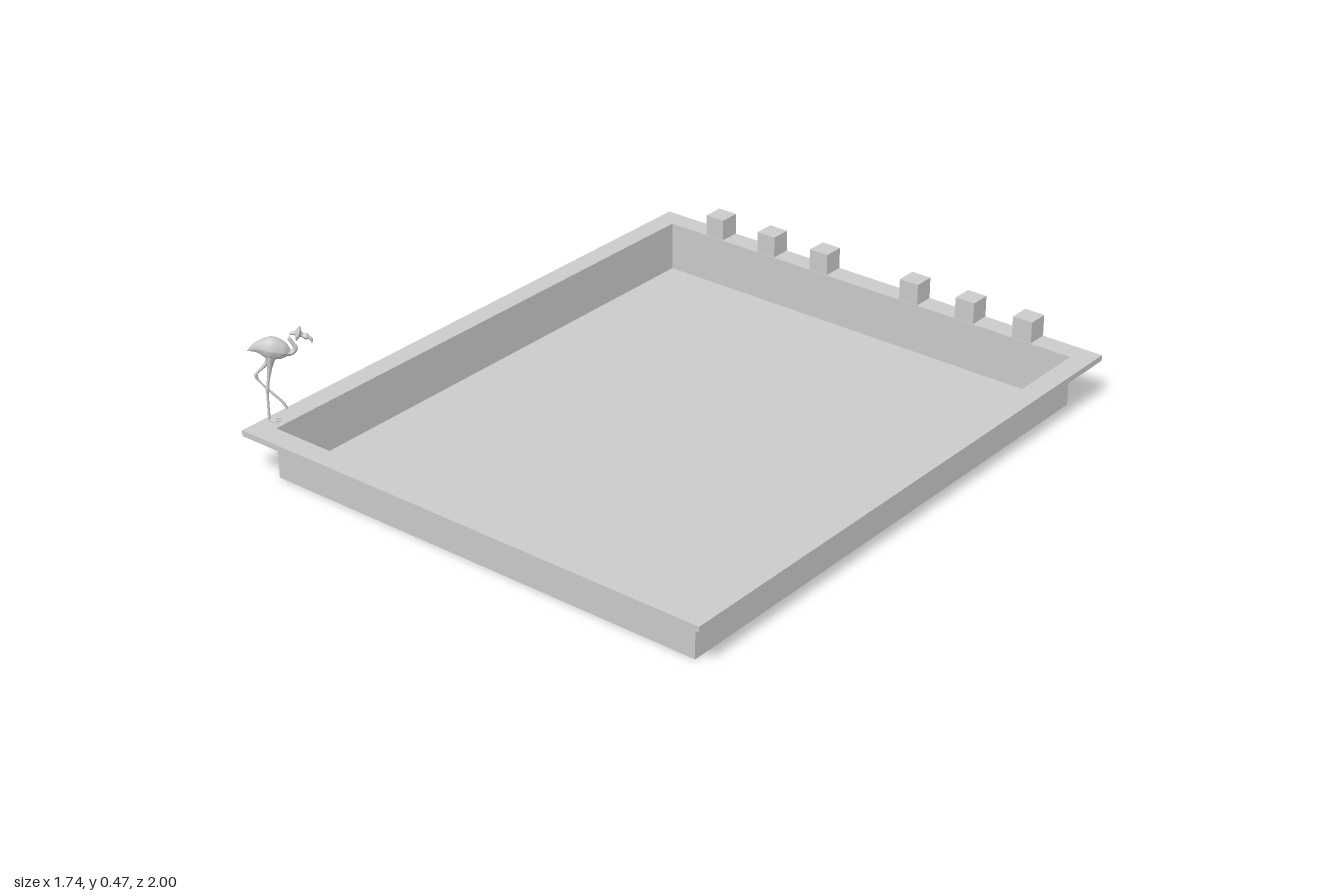
import * as THREE from 'three';

const grey = new THREE.MeshStandardMaterial({ color: 0xcccccc });
const thin = new THREE.MeshStandardMaterial({ color: 0xcccccc, side: THREE.DoubleSide });

function add(parent, name, geometry, material = grey) {
  const mesh = new THREE.Mesh(geometry, material);
  mesh.name = name;
  parent.add(mesh);
  return mesh;
}

// Tube along a smooth path; each point is [x, y, z, radius]
function taperedTube(points, sides = 8, steps = 20) {
  const path = new THREE.CatmullRomCurve3(points.map(p => new THREE.Vector3(p[0], p[1], p[2])));
  const radii = new THREE.CatmullRomCurve3(points.map(p => new THREE.Vector3(p[3], 0, 0)));
  const geometry = new THREE.TubeGeometry(path, steps, 1, sides);
  const pos = geometry.attributes.position;
  const v = new THREE.Vector3();
  for (let i = 0; i <= steps; i++) {
    const centre = path.getPointAt(i / steps);
    const r = Math.max(0.0003, radii.getPoint(path.getUtoTmapping(i / steps)).x);
    for (let j = 0; j <= sides; j++) {
      const k = i * (sides + 1) + j;
      v.fromBufferAttribute(pos, k).sub(centre).multiplyScalar(r).add(centre);
      pos.setXYZ(k, v.x, v.y, v.z);
    }
  }
  geometry.computeVertexNormals();
  return geometry;
}

function rectangle(target, w, d) {
  target.moveTo(-w / 2, -d / 2);
  target.lineTo(w / 2, -d / 2);
  target.lineTo(w / 2, d / 2);
  target.lineTo(-w / 2, d / 2);
  target.closePath();
  return target;
}

// Wading bird, built facing +x with its feet at y = 0
function createBird() {
  const bird = new THREE.Group();
  bird.name = 'bird';

  add(bird, 'body', taperedTube([
    [-0.075, 0.23, 0, 0.001], [-0.045, 0.24, 0, 0.018], [-0.005, 0.237, 0, 0.036],
    [0.03, 0.227, 0, 0.027], [0.05, 0.22, 0, 0.008],
  ], 14, 24)).scale.z = 0.8;

  add(bird, 'neck', taperedTube([
    [0.035, 0.222, 0, 0.014], [0.055, 0.221, 0, 0.009], [0.066, 0.234, 0, 0.007],
    [0.058, 0.252, 0, 0.006], [0.05, 0.268, 0, 0.0055], [0.055, 0.281, 0, 0.0055],
    [0.068, 0.285, 0, 0.006],
  ], 8, 32));

  add(bird, 'head', taperedTube([
    [0.06, 0.283, 0, 0.003], [0.07, 0.283, 0, 0.008], [0.083, 0.279, 0, 0.008], [0.093, 0.274, 0, 0.005],
  ], 10, 12));

  add(bird, 'beak', taperedTube([
    [0.088, 0.276, 0, 0.006], [0.104, 0.27, 0, 0.006], [0.114, 0.262, 0, 0.005], [0.115, 0.248, 0, 0.0005],
  ], 8, 12));

  // Straight leg carrying the weight
  add(bird, 'standingLeg', taperedTube([
    [-0.006, 0.215, 0.011, 0.015], [-0.012, 0.175, 0.013, 0.007], [-0.02, 0.125, 0.015, 0.004],
    [-0.022, 0.11, 0.0155, 0.006], [-0.023, 0.09, 0.0155, 0.0035], [-0.023, 0.006, 0.0155, 0.004],
  ], 8, 32));

  // Bent leg, knee drawn back and foot raised
  add(bird, 'raisedLeg', taperedTube([
    [-0.005, 0.215, -0.011, 0.015], [-0.022, 0.182, -0.01, 0.007], [-0.051, 0.152, -0.008, 0.004],
    [-0.056, 0.143, -0.008, 0.006], [-0.048, 0.125, -0.009, 0.0035], [0.016, 0.053, -0.011, 0.004],
  ], 8, 32));

  // Three spread toes on each foot
  const feet = [[-0.023, 0.006, 0.0155, 0], [0.016, 0.053, -0.011, -1]];
  for (const [x, y, z, droop] of feet) {
    for (const spread of [-0.5, 0, 0.5]) {
      const reach = droop ? 0.014 : 0.034;
      add(bird, 'toe', taperedTube([
        [x, y, z, 0.004],
        [x + reach * 0.5, y - (droop ? 0.012 : 0.002), z + reach * spread * 0.5, 0.003],
        [x + reach, y - (droop ? 0.024 : 0.004), z + reach * spread, 0.0015],
      ], 6, 6));
    }
  }
  return bird;
}

export function createModel() {
  const model = new THREE.Group();
  model.name = 'pool';
  const cx = 0.01, rimBottom = 0.147, rimTop = 0.166;
  const basinW = 1.576, basinD = 1.856;

  // Thin-walled basin: a box without its top face
  const shell = new THREE.BoxGeometry(basinW, rimBottom, basinD);
  const index = Array.from(shell.index.array);
  index.splice(12, 6);
  shell.setIndex(index);
  shell.clearGroups();
  add(model, 'basin', shell, thin).position.set(cx, rimBottom / 2, 0);

  // Flat rim around the basin
  const rimShape = rectangle(new THREE.Shape(), 1.716, 2);
  rimShape.holes.push(rectangle(new THREE.Path(), basinW, basinD));
  const rim = new THREE.ExtrudeGeometry(rimShape, { depth: rimTop - rimBottom, bevelEnabled: false });
  rim.rotateX(-Math.PI / 2);
  add(model, 'rim', rim).position.set(cx, rimBottom, 0);

  // Starting blocks along the back edge, in two sets of three
  const blockTop = 0.238;
  for (const x of [-0.597, -0.383, -0.168, 0.189, 0.403, 0.618]) {
    const block = add(model, 'startingBlock', new THREE.BoxGeometry(0.07, blockTop - rimBottom, 0.07));
    block.position.set(x, (blockTop + rimBottom) / 2, -0.965);
  }

  // Bird on the front corner, looking across the pool
  const bird = createBird();
  bird.position.set(-0.816, rimTop, 0.885);
  bird.rotation.y = 0.73;
  model.add(bird);
  return model;
}
